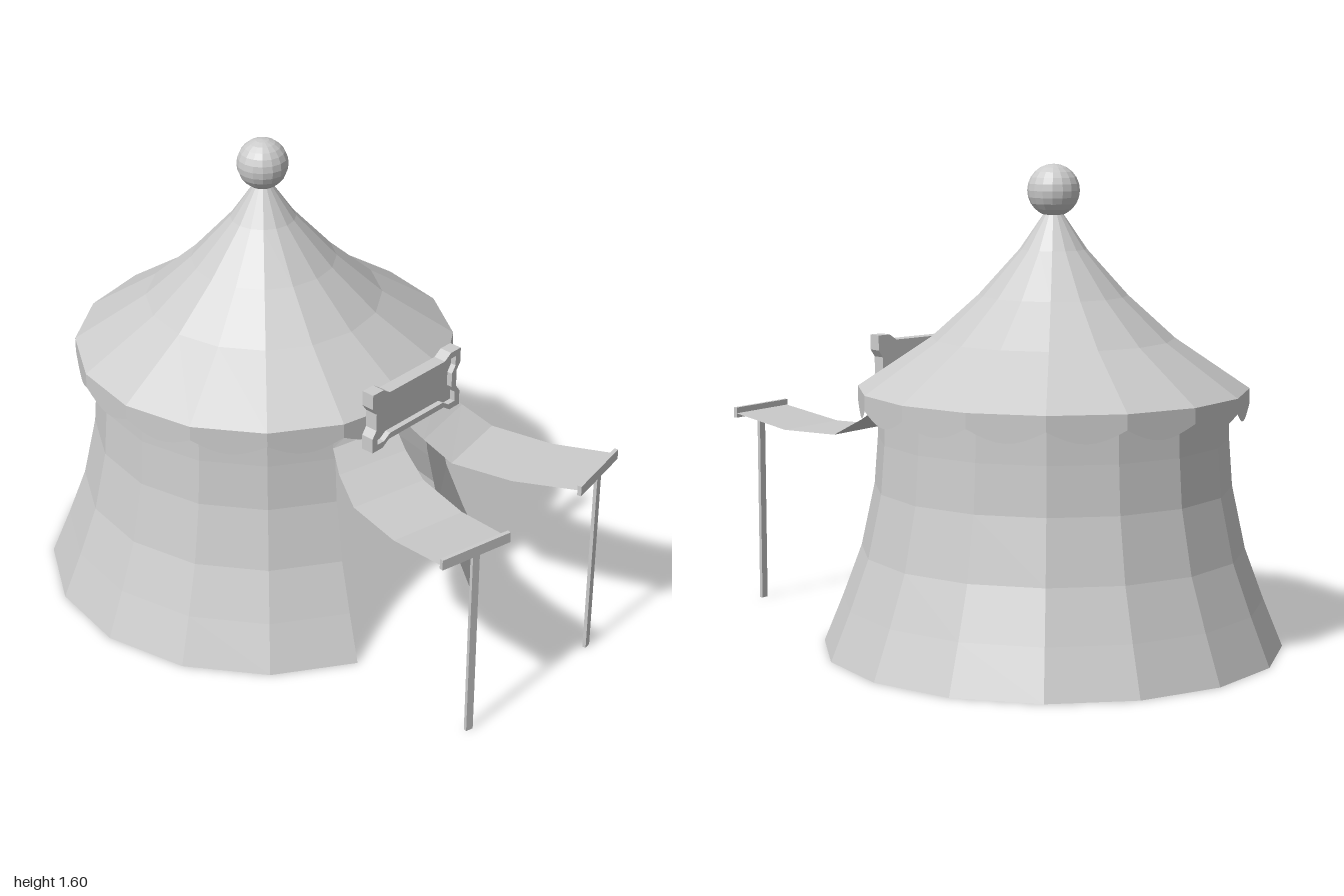
import * as THREE from 'three';

const SIDES = 16;
const STEP = (Math.PI * 2) / SIDES;
const AXIS_Z = -0.235;
const EAVE_R = 0.645;
const EAVE_Y = 0.865;

const solid = new THREE.MeshStandardMaterial({ color: 0xcccccc, flatShading: true });
const cloth = new THREE.MeshStandardMaterial({ color: 0xcccccc, flatShading: true, side: THREE.DoubleSide });

function add(parent, name, geometry, material, x = 0, y = 0, z = 0) {
  const mesh = new THREE.Mesh(geometry, material);
  mesh.name = name;
  mesh.position.set(x, y, z);
  parent.add(mesh);
  return mesh;
}

const profile = (points) => points.map(([x, y]) => new THREE.Vector2(x, y));

// Ribbon of quads through a list of edge pairs [a, b]
function ribbon(pairs) {
  const index = [];
  for (let i = 0; i < pairs.length - 1; i++) {
    const a = i * 2;
    index.push(a, a + 2, a + 1, a + 1, a + 2, a + 3);
  }
  const geometry = new THREE.BufferGeometry();
  geometry.setAttribute('position', new THREE.Float32BufferAttribute(pairs.flat(2), 3));
  geometry.setIndex(index);
  geometry.computeVertexNormals();
  return geometry;
}

// Scalloped strip hanging from the eave, one scallop per roof side
function valanceGeometry() {
  const pairs = [];
  const cuts = 8;
  for (let side = 0; side < SIDES; side++) {
    const p = [side, side + 1].map((k) => [EAVE_R * Math.sin(k * STEP), EAVE_R * Math.cos(k * STEP)]);
    for (let i = 0; i <= cuts; i++) {
      const t = i / cuts;
      const x = p[0][0] + (p[1][0] - p[0][0]) * t;
      const z = p[0][1] + (p[1][1] - p[0][1]) * t;
      const y = 0.815 - 0.04 * Math.sin(Math.PI * t);
      pairs.push([[x, y, z], [x, EAVE_Y, z]]);
    }
  }
  return ribbon(pairs);
}

// Outline with flared corners, from the points of one quarter
function plaqueOutline(quarter, Target) {
  const flip = (list, sx, sy) => list.map(([x, y]) => [x * sx, y * sy]);
  const back = [...quarter].reverse();
  return new Target(profile([
    ...quarter,
    ...flip(back, -1, 1),
    ...flip(quarter, -1, -1),
    ...flip(back, 1, -1),
  ]));
}

function createSign() {
  const sign = new THREE.Group();
  sign.name = 'sign';
  const outer = [[0.196, 0.03], [0.214, 0.055], [0.214, 0.107], [0.165, 0.107], [0.135, 0.087]];
  const inner = [[0.173, 0.025], [0.19, 0.05], [0.19, 0.085], [0.158, 0.085], [0.13, 0.067]];
  const frame = plaqueOutline(outer, THREE.Shape);
  frame.holes.push(plaqueOutline(inner, THREE.Path));
  add(sign, 'signFrame', new THREE.ExtrudeGeometry(frame, { depth: 0.045, bevelEnabled: false }), solid);
  const panel = plaqueOutline(inner, THREE.Shape);
  add(sign, 'signPanel', new THREE.ExtrudeGeometry(panel, { depth: 0.025, bevelEnabled: false }), solid);
  sign.position.set(0, 0.888, 0.41);
  return sign;
}

// Door flap held out as an awning by a bar on a post
function createAwning(s) {
  const awning = new THREE.Group();
  awning.name = s > 0 ? 'leftAwning' : 'rightAwning';
  const innerEdge = [[0, 0.86, 0.34], [0.02, 0.77, 0.38], [0.045, 0.715, 0.45], [0.07, 0.655, 0.55], [0.125, 0.652, 0.76], [0.18, 0.69, 0.985]];
  const outerEdge = [[0.222, 0.86, 0.3], [0.265, 0.77, 0.33], [0.305, 0.715, 0.395], [0.345, 0.655, 0.495], [0.395, 0.652, 0.71], [0.44, 0.69, 0.935]];
  const mirror = ([x, y, z]) => [x * s, y, z];
  const pairs = innerEdge.map((p, i) => {
    const pair = [mirror(p), mirror(outerEdge[i])];
    return s > 0 ? pair : pair.reverse();
  });
  add(awning, 'doorFlap', ribbon(pairs), cloth);

  const support = new THREE.Group();
  support.name = 'awningSupport';
  support.position.set(0.308 * s, 0, 0.967);
  support.rotation.y = (s * STEP) / 2;
  add(support, 'awningBar', new THREE.BoxGeometry(0.267, 0.036, 0.014), solid, 0, 0.692, 0);
  add(support, 'awningPost', new THREE.BoxGeometry(0.027, 0.676, 0.012), solid, 0, 0.338, 0);
  awning.add(support);
  return awning;
}

export function createModel() {
  const model = new THREE.Group();
  model.name = 'tent';

  const body = new THREE.Group();
  body.name = 'tentBody';
  body.position.z = AXIS_Z;
  model.add(body);

  // Flared wall, open across the two front sides
  const wall = profile([[0.765, 0], [0.7, 0.16], [0.637, 0.33], [0.592, 0.54], [0.58, 0.7], [0.575, 0.86]]);
  add(body, 'wall', new THREE.LatheGeometry(wall, SIDES - 2, STEP, STEP * (SIDES - 2)), cloth);

  // Sagging roof with its valance
  const roof = profile([[EAVE_R, EAVE_Y], [0.4, 1.03], [0.245, 1.17], [0.11, 1.32], [0.025, 1.445]]);
  add(body, 'roof', new THREE.LatheGeometry(roof, SIDES), cloth);
  add(body, 'valance', valanceGeometry(), cloth);

  // Ball on top and pole inside
  add(body, 'finial', new THREE.SphereGeometry(0.086, 16, 12), solid, 0, 1.511, 0);
  add(body, 'centrePole', new THREE.BoxGeometry(0.042, 1.44, 0.042), solid, 0, 0.72, 0);

  model.add(createSign(), createAwning(1), createAwning(-1));
  return model;
}
